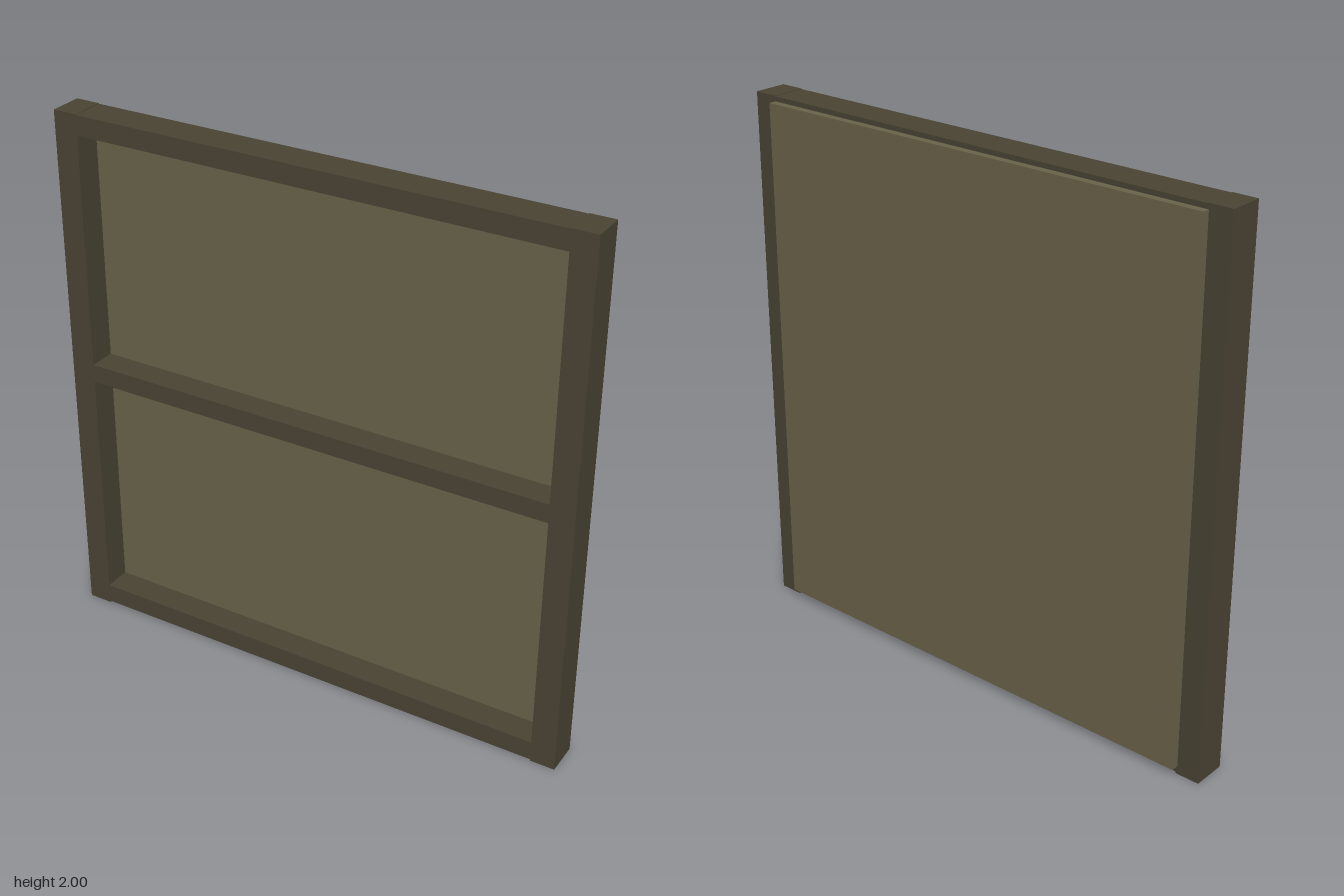
import * as THREE from 'three';

export function createModel() {
  const model = new THREE.Group();
  const frameMaterial = new THREE.MeshStandardMaterial({ color: 0x4a4434 });
  const panelMaterial = new THREE.MeshStandardMaterial({ color: 0x6a634a });

  // Box given by its minimum and maximum on each axis
  function addBox(name, material, [x0, x1], [y0, y1], [z0, z1]) {
    const mesh = new THREE.Mesh(new THREE.BoxGeometry(x1 - x0, y1 - y0, z1 - z0), material);
    mesh.position.set((x0 + x1) / 2, (y0 + y1) / 2, (z0 + z1) / 2);
    mesh.name = name;
    model.add(mesh);
  }

  const frameDepth = [-0.05, 0.078];
  const inner = 0.902;
  const outer = 0.994;

  // Upright posts
  addBox('leftPost', frameMaterial, [inner, outer], [0, 2], frameDepth);
  addBox('rightPost', frameMaterial, [-outer, -inner], [0, 2], frameDepth);

  // Horizontal rails between the posts
  const rails = { bottomRail: [0.006, 0.08], middleRail: [0.98, 1.05], topRail: [1.925, 1.998] };
  for (const [name, height] of Object.entries(rails)) {
    addBox(name, frameMaterial, [-inner, inner], height, frameDepth);
  }

  // Backing panel, let into the frame and standing proud behind it
  addBox('backPanel', panelMaterial, [-0.908, 0.902], [0.03, 1.98], [-0.078, -0.025]);

  return model;
}
